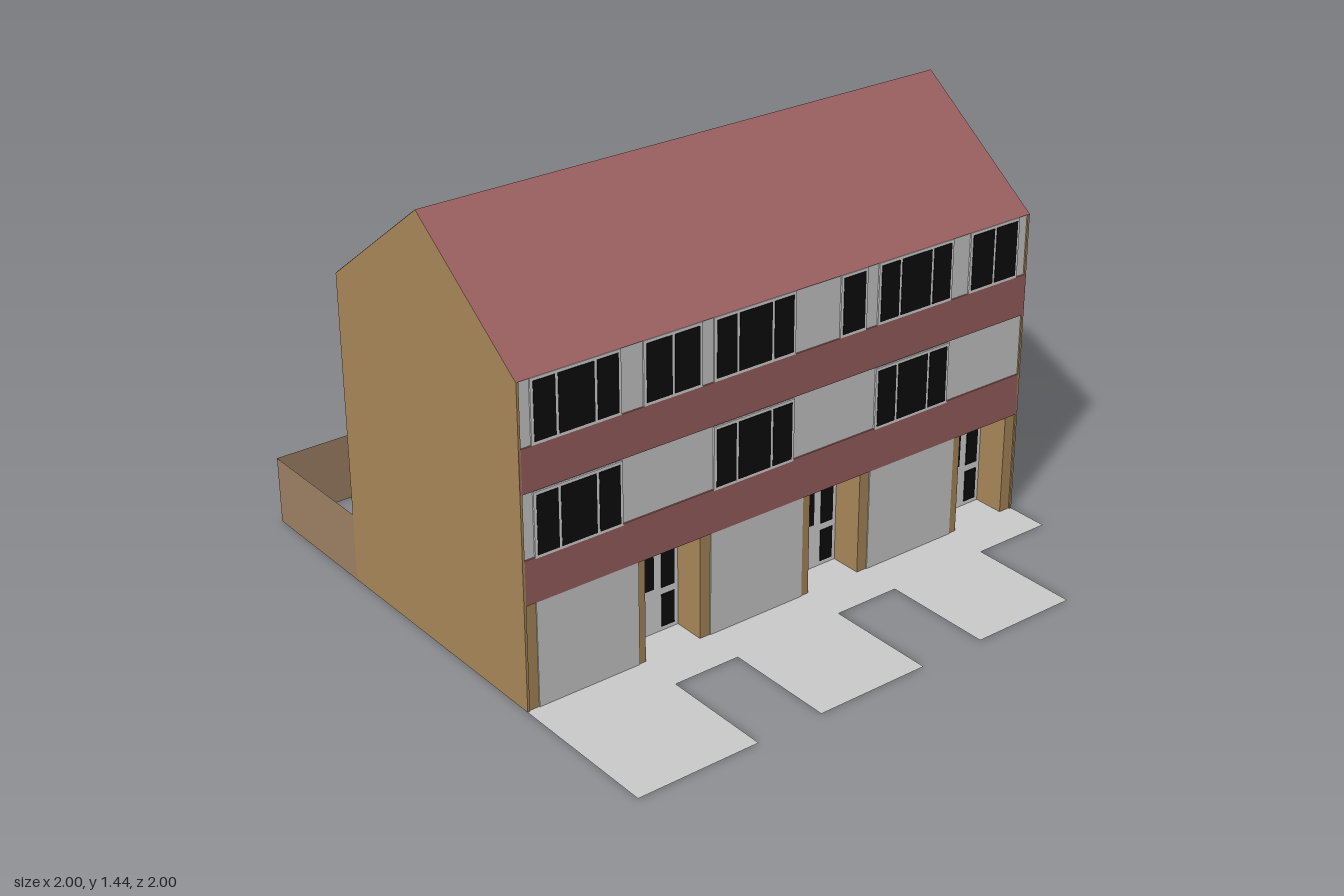
import * as THREE from 'three';

const mat = (name, color, side = THREE.FrontSide) => {
  const m = new THREE.MeshStandardMaterial({ color, side });
  m.name = name;
  return m;
};

export function createModel() {
  const render = mat('grey render', 0xcdcdcd);
  const frameMat = mat('pale frame', 0xd8d8d8);
  const brick = mat('tan brick', 0xaa895b, THREE.DoubleSide);
  const tile = mat('red tile', 0x9c6060, THREE.DoubleSide);
  const fence = mat('brown fence', 0xa08266, THREE.DoubleSide);
  const paving = mat('grey paving', 0xcccccc, THREE.DoubleSide);
  const glass = mat('black glass', 0x0d0d0d);

  const model = new THREE.Group();
  model.name = 'terraceHouses';

  const add = (name, geo, m) => {
    const mesh = new THREE.Mesh(geo, m);
    mesh.name = name;
    model.add(mesh);
    return mesh;
  };
  // Box given by its limits on each axis
  const box = (name, m, x0, x1, y0, y1, z0, z1) =>
    add(name, new THREE.BoxGeometry(x1 - x0, y1 - y0, z1 - z0), m)
      .position.set((x0 + x1) / 2, (y0 + y1) / 2, (z0 + z1) / 2);
  // Thin plate standing out from a wall at z; s = 1 faces front, -1 faces back
  const plate = (name, m, x0, x1, y0, y1, z, s, t) =>
    box(name, m, x0, x1, y0, y1, Math.min(z, z + s * t), Math.max(z, z + s * t));

  const FRONT = 0.455, BACK = -0.505, EAVE = 1.08, RIDGE = 1.44, RIDGE_Z = -0.025;
  const GROUND = 0.36;

  // Window: one frame with a row of panes
  const windowRow = (x0, widths, y0, y1, z, s) => {
    const gap = 0.01;
    const total = widths.reduce((a, w) => a + w + gap, -gap);
    plate('windowFrame', frameMat, x0 - 0.01, x0 + total + 0.01, y0 - 0.01, y1 + 0.01, z, s, 0.0055);
    let x = x0;
    for (const w of widths) {
      plate('windowPane', glass, x, x + w, y0, y1, z, s, 0.0075);
      x += w + gap;
    }
  };
  const triple = [0.075, 0.125, 0.075], double = [0.093, 0.093], single = [0.088];

  // Glazed door with side light
  const door = (x, z, s) => {
    plate('doorPanel', frameMat, x, x + 0.21, 0, GROUND - 0.003, z, s, 0.004);
    plate('doorSideWindow', glass, x + 0.017, x + 0.115, 0.16, 0.35, z, s, 0.007);
    plate('doorUpperPane', glass, x + 0.145, x + 0.195, 0.155, 0.35, z, s, 0.007);
    plate('doorLowerPane', glass, x + 0.145, x + 0.195, 0.015, 0.13, z, s, 0.007);
  };

  // Gable end walls
  const gable = new THREE.Shape([
    [-0.46, 0], [0.51, 0], [0.51, EAVE], [-RIDGE_Z, RIDGE], [-0.46, EAVE],
  ].map(([a, b]) => new THREE.Vector2(a, b)));
  const gableGeo = new THREE.ExtrudeGeometry(gable, { depth: 0.008, bevelEnabled: false });
  gableGeo.rotateY(Math.PI / 2);
  for (const x of [-1, 0.992]) add('gableWall', gableGeo, brick).position.x = x;

  // Roof slopes
  for (const [name, z] of [['frontRoof', 0.46], ['backRoof', -0.51]]) {
    const run = z - RIDGE_Z, rise = RIDGE - EAVE;
    const slope = add(name, new THREE.PlaneGeometry(2, Math.hypot(run, rise)), tile);
    slope.position.set(0, (EAVE + RIDGE) / 2 + 0.001, (z + RIDGE_Z) / 2);
    slope.rotation.x = -Math.atan2(run, rise);
  }

  // Front facade with tiled bands
  box('frontUpperWall', render, -0.992, 0.992, GROUND, EAVE, FRONT - 0.01, FRONT);
  plate('lowerTileBand', tile, -1, 1, GROUND, 0.51, FRONT, 1, 0.005);
  plate('upperTileBand', tile, -1, 1, 0.725, 0.87, FRONT, 1, 0.005);
  for (const x of [-0.945, -0.29, 0.36]) {
    windowRow(x, triple, 0.515, 0.71, FRONT, 1);
    windowRow(x, triple, 0.88, 1.07, FRONT, 1);
  }
  windowRow(-0.55, double, 0.88, 1.07, FRONT, 1);
  windowRow(0.205, single, 0.88, 1.07, FRONT, 1);
  windowRow(0.75, double, 0.88, 1.07, FRONT, 1);

  // Ground floor brickwork between the porches, with garage doors
  const porches = [-0.56, 0.09, 0.74], porchWidth = 0.21, porchZ = 0.34;
  let start = -0.992;
  for (const x of [...porches, 0.992]) {
    box('frontGroundWall', brick, start, x, 0, GROUND, FRONT - 0.01, FRONT);
    start = x + porchWidth;
  }
  for (const x of [-0.955, -0.31, 0.34])
    plate('garageDoor', render, x, x + 0.37, 0, GROUND, FRONT, 1, 0.003);

  // Recessed porches
  for (const x of porches) {
    const x1 = x + porchWidth;
    box('porchSide', brick, x - 0.006, x, 0, GROUND, porchZ, FRONT - 0.01);
    box('porchSide', brick, x1, x1 + 0.006, 0, GROUND, porchZ, FRONT - 0.01);
    box('porchBack', brick, x - 0.006, x1 + 0.006, 0, GROUND, porchZ - 0.008, porchZ);
    box('porchCeiling', brick, x, x1, GROUND - 0.003, GROUND, porchZ, FRONT - 0.01);
    door(x, porchZ, 1);
  }

  // Back facade
  box('backUpperWall', render, -0.992, 0.992, GROUND, EAVE, BACK, BACK + 0.01);
  box('backGroundWall', brick, -0.992, 0.992, 0, GROUND, BACK, BACK + 0.01);
  for (const shift of [0, -0.65, -1.3]) {
    windowRow(0.865 + shift, single, 0.87, 1.06, BACK, -1);
    windowRow(0.76 + shift, double, 0.49, 0.69, BACK, -1);
    for (const [y0, y1] of [[0.87, 1.06], [0.49, 0.69], [0.23, 0.34]])
      windowRow(0.365 + shift, triple, y0, y1, BACK, -1);
    door(0.752 + shift, BACK, -1);
  }

  // Back yard fences
  const height = 0.24, depth = 0.49;
  add('backFence', new THREE.PlaneGeometry(2, height), fence).position.set(0, height / 2, -1);
  for (const x of [-1, -0.33, 0.33, 1]) {
    const side = add('yardFence', new THREE.PlaneGeometry(depth, height), fence);
    side.rotation.y = Math.PI / 2;
    side.position.set(x, height / 2, -0.51 - depth / 2);
  }

  // Paving with a drive in front of each garage
  const outline = [
    [-1, 0.21], [-1, 1], [-0.565, 1], [-0.565, 0.61], [-0.325, 0.61], [-0.325, 1],
    [0.085, 1], [0.085, 0.61], [0.325, 0.61], [0.325, 1], [0.71, 1], [0.71, 0.61],
    [1, 0.61], [1, 0.21],
  ].map(([x, z]) => new THREE.Vector2(x, -z));
  const drive = new THREE.ShapeGeometry(new THREE.Shape(outline));
  drive.rotateX(-Math.PI / 2);
  add('paving', drive, paving);

  return model;
}
